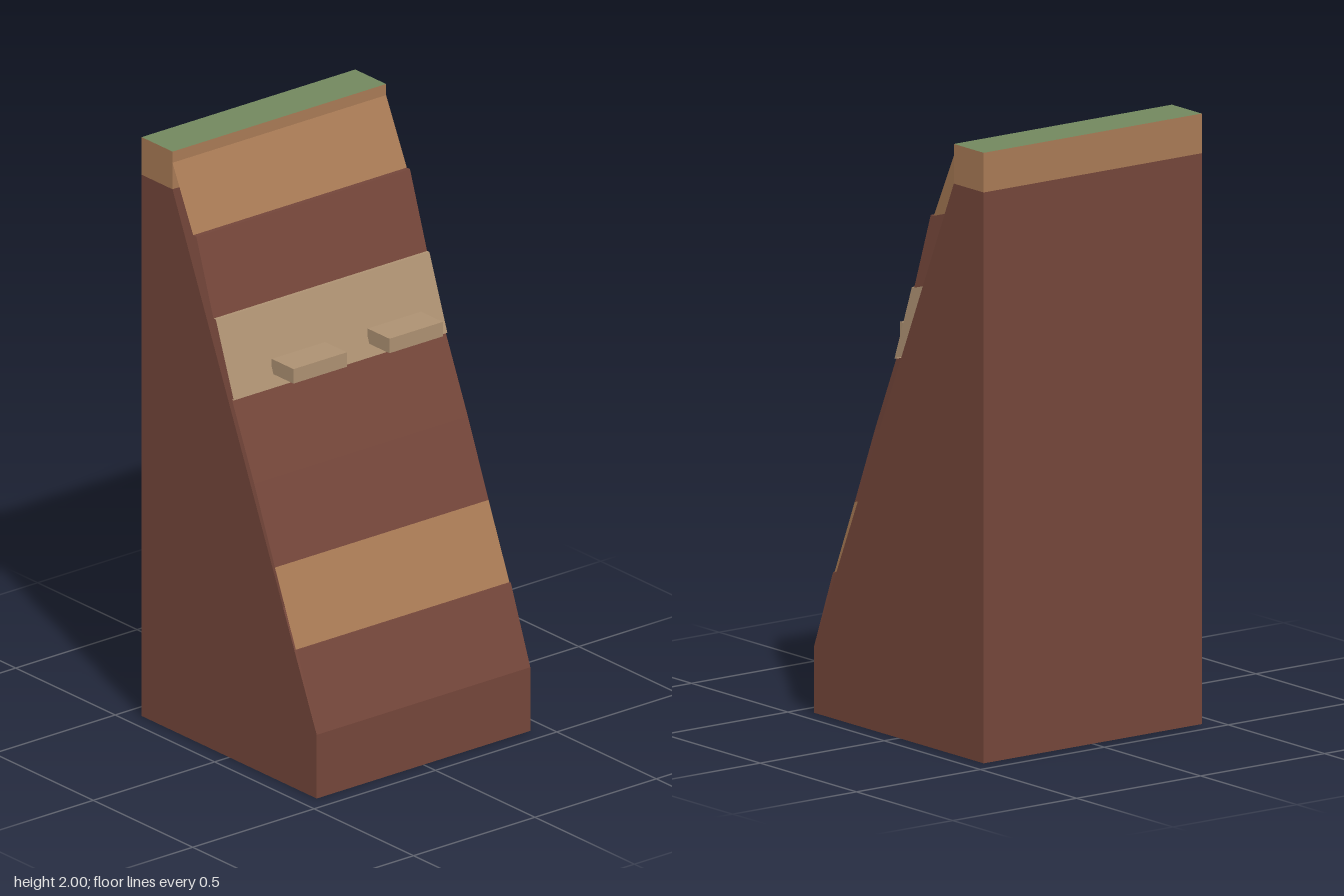
import * as THREE from 'three';

const W = 0.44; // half width

function material(name, color) {
  const m = new THREE.MeshStandardMaterial({ color, side: THREE.DoubleSide });
  m.name = name;
  return m;
}

export function createModel() {
  const group = new THREE.Group();
  const red = material('red rock', 0x74463a);
  const tan = material('tan rock', 0xa87a55);
  const buff = material('pale rock', 0xad9172);
  const green = material('grass', 0x72885e);

  function add(name, geometry, mat) {
    const mesh = new THREE.Mesh(geometry, mat);
    mesh.name = name;
    group.add(mesh);
    return mesh;
  }

  // Flat sheet across the full width, from (y0, z0) up to (y1, z1)
  function sheet(name, [y0, z0], [y1, z1], mat) {
    const g = new THREE.BufferGeometry();
    g.setAttribute('position', new THREE.Float32BufferAttribute(
      [-W, y0, z0, W, y0, z0, W, y1, z1, -W, y1, z1], 3));
    g.setIndex([0, 1, 2, 0, 2, 3]);
    g.computeVertexNormals();
    add(name, g, mat);
  }

  function box(name, x0, x1, y0, y1, z0, z1, mat) {
    const mesh = add(name, new THREE.BoxGeometry(x1 - x0, y1 - y0, z1 - z0), mat);
    mesh.position.set((x0 + x1) / 2, (y0 + y1) / 2, (z0 + z1) / 2);
  }

  // Tapering side walls, drawn with shape x = -z
  const outline = new THREE.Shape([
    [-0.44, 0], [0.44, 0], [0.44, 1.87], [0.285, 1.87], [-0.44, 0.22],
  ].map(([x, y]) => new THREE.Vector2(x, y)));
  for (const side of [1, -1]) {
    const g = new THREE.ShapeGeometry(outline);
    // keep the outward face in front on both sides
    if (side < 0) g.setIndex(Array.from(g.index.array).reverse());
    g.rotateY(Math.PI / 2);
    g.computeVertexNormals();
    add('sideWall', g, red).position.x = side * W;
  }

  // Back wall, base front and the floor above the open base
  sheet('backWall', [1.87, -0.44], [0, -0.44], red);
  sheet('baseFront', [0, 0.44], [0.22, 0.44], red);
  sheet('floor', [0.22, 0.44], [0.22, -0.44], red);

  // Leaning rock layers: bottom edge, top edge, colour
  const layers = [
    [[0.22, 0.44], [0.48, 0.342], red],
    [[0.48, 0.335], [0.73, 0.23], tan],
    [[0.73, 0.23], [0.985, 0.126], red],
    [[0.985, 0.126], [1.24, 0.014], red],
    [[1.24, 0.023], [1.49, -0.067], buff],
    [[1.49, -0.079], [1.745, -0.165], red],
    [[1.745, -0.181], [1.97, -0.289], tan],
  ];
  layers.forEach(([bottom, top, mat], i) => {
    sheet('rockLayer', bottom, top, mat);
    // narrow ledge where the next layer steps in or out
    const next = layers[i + 1];
    if (!next) return;
    const step = top[1] - next[0][1];
    if (step > 0.001) sheet('ledge', top, next[0], mat);
    else if (step < -0.001) sheet('overhang', next[0], top, next[2]);
  });

  // Summit block with a grass top
  const [right, left, top, bottom, front, back] = [tan, tan, green, tan, tan, tan];
  box('summit', -W, W, 1.87, 2, -0.44, -0.285, [right, left, top, bottom, front, back]);

  // Two small stone steps in front of the pale layer
  for (const x of [-0.265, 0.13]) box('stoneStep', x, x + 0.22, 1.28, 1.33, 0, 0.11, buff);

  return group;
}
